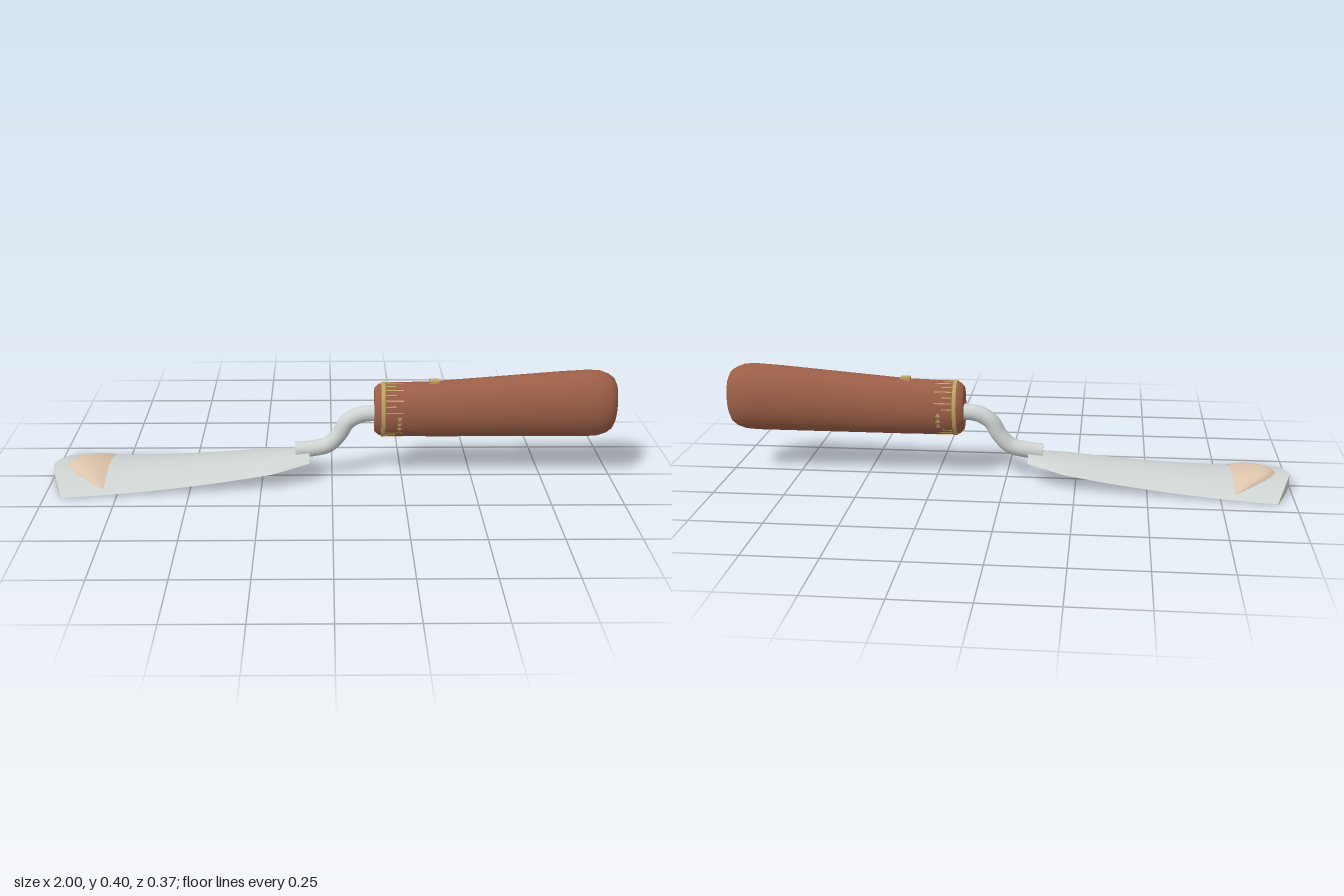
import * as THREE from 'three';
import { toCreasedNormals } from 'three/addons/utils/BufferGeometryUtils.js';

const mat = (name, color, side = THREE.FrontSide) => {
  const m = new THREE.MeshStandardMaterial({ color, side });
  m.name = name;
  return m;
};

// Piecewise linear lookup in rows of [x, a, b, ...]
function lookup(rows, x) {
  let i = 0;
  while (i < rows.length - 2 && x > rows[i + 1][0]) i++;
  const t = THREE.MathUtils.clamp((x - rows[i][0]) / (rows[i + 1][0] - rows[i][0]), 0, 1);
  return rows[i].map((a, k) => a + (rows[i + 1][k] - a) * t);
}

// Surface from a rule point(i, j) over a grid
function grid(nu, nv, point) {
  const pos = [], idx = [];
  for (let i = 0; i <= nu; i++) for (let j = 0; j <= nv; j++) pos.push(...point(i, j));
  for (let i = 0; i < nu; i++) for (let j = 0; j < nv; j++) {
    const a = i * (nv + 1) + j, b = a + nv + 1;
    idx.push(a, b, b + 1, a, b + 1, a + 1);
  }
  const g = new THREE.BufferGeometry();
  g.setAttribute('position', new THREE.Float32BufferAttribute(pos, 3));
  g.setIndex(idx);
  g.computeVertexNormals();
  return g;
}

// Oval body from sections [x, centre y, half height, half depth]
function oval(sections, n = 40) {
  const g = grid(sections.length - 1, n, (i, j) => {
    const [x, cy, ry, rz] = sections[i], a = (j / n) * Math.PI * 2;
    return [x, cy + ry * Math.cos(a), -rz * Math.sin(a)];
  });
  return toCreasedNormals(g, 0.75);
}

// Blade outline and arch
const WIDTH = [[-1, 0.187], [-0.94, 0.187], [-0.21, 0.12], [-0.08, 0.07]];
const halfWidth = (x) => lookup(WIDTH, x)[1];
function bladeY(x, z) {
  const t = (x + 1) / 0.92, s = z / halfWidth(x);
  const edge = 0.002 + 0.075 * t * t, crest = 0.046 + 0.056 * t * t;
  return edge + (crest - edge) * (1 - s * s);
}
const frontX = (s) => -1 + 0.06 * Math.abs(s) ** 1.2;

const HANDLE = [
  [0.15, 0.255, 0.001, 0.001], [0.15, 0.255, 0.08, 0.056], [0.165, 0.255, 0.094, 0.065],
  [0.19, 0.255, 0.098, 0.068], [0.35, 0.256, 0.101, 0.070], [0.6, 0.266, 0.111, 0.076],
  [0.8, 0.274, 0.119, 0.081], [0.9, 0.277, 0.122, 0.083], [0.94, 0.277, 0.119, 0.082],
  [0.97, 0.276, 0.108, 0.074], [0.988, 0.276, 0.095, 0.063], [0.998, 0.276, 0.075, 0.047],
  [1, 0.276, 0.04, 0.025], [1, 0.276, 0.001, 0.001],
];

export function createModel() {
  const steel = mat('steel', 0xced4d2, THREE.DoubleSide);
  const wood = mat('wood', 0x9c5f47);
  const brass = mat('brass', 0xbfa566);
  const peach = mat('peach', 0xdcc4ac, THREE.DoubleSide);
  const model = new THREE.Group();
  const add = (name, geometry, material, parent = model) => {
    const m = new THREE.Mesh(geometry, material);
    m.name = name;
    parent.add(m);
    return m;
  };

  // Arched blade with a pointed front
  const NU = 46, NV = 28;
  add('blade', grid(NU, NV, (i, j) => {
    const s = 1 - (2 * j) / NV, x0 = frontX(s);
    const x = x0 + (-0.08 - x0) * (i / NU), z = s * halfWidth(x);
    return [x, bladeY(x, z), z];
  }), steel);

  // Upright lip closing the front of the arch
  const lip = grid(1, NV, (i, j) => {
    const s = 1 - (2 * j) / NV, x = frontX(s), z = s * 0.187;
    return [x, i ? bladeY(x, z) : 0, z];
  });
  add('bladeLip', toCreasedNormals(lip, 0.4), steel);

  // Raised half-moon near the blade tip
  add('tipInlay', grid(12, 32, (i, j) => {
    const s = 1 - j / 16, u = i / 12, z = 0.152 * s;
    const x0 = -0.8 - 0.15 * (1 - Math.abs(s) ** 1.6);
    const x = x0 + (-0.797 - x0) * u;
    const rise = 2.4 * Math.sqrt(u) * (1 - u) * (1 - s * s);
    return [x, bladeY(x, z) + 0.002 + 0.018 * rise, z];
  }), peach);

  // Cranked neck
  const path = new THREE.CatmullRomCurve3([
    [-0.13, 0.1], [-0.07, 0.106], [-0.015, 0.12], [0.025, 0.16],
    [0.055, 0.208], [0.1, 0.235], [0.18, 0.243],
  ].map(([x, y]) => new THREE.Vector3(x, y, 0)));
  add('neck', new THREE.TubeGeometry(path, 48, 0.029, 20), steel);
  const cap = add('neckEnd', new THREE.CircleGeometry(0.029, 20), steel);
  cap.position.set(-0.13, 0.1, 0);
  cap.rotation.y = -Math.PI / 2;

  // Oval handle and its brass band
  add('handle', oval(HANDLE), wood);
  add('handleBand', oval([
    [0.172, 0.255, 0.094, 0.064], [0.173, 0.255, 0.1, 0.07],
    [0.186, 0.255, 0.101, 0.071], [0.187, 0.255, 0.094, 0.064],
  ]), brass);

  // Brass ticks and small triangles set around the handle
  const marks = new THREE.Group();
  marks.name = 'handleMarks';
  model.add(marks);
  const place = (mesh, x, a) => {
    const [, cy, ry, rz] = lookup(HANDLE, x);
    mesh.position.set(x, cy + ry * Math.cos(a), rz * Math.sin(a));
    mesh.rotation.x = Math.atan2(Math.sin(a) / rz, Math.cos(a) / ry);
  };
  const COUNT = 28;
  for (let k = 0; k < COUNT; k++) {
    const a = ((k + 0.5) / COUNT) * Math.PI * 2;
    const low = Math.cos(a) < -0.05 && Math.cos(a) > -0.65;
    const length = k % 2 ? 0.035 : 0.062;
    if (!low) {
      place(add('tick', new THREE.BoxGeometry(length, 0.003, 0.004), brass, marks), 0.188 + length / 2, a);
    } else {
      place(add('triangle', new THREE.CylinderGeometry(0.011, 0.011, 0.003, 3), brass, marks), 0.236, a);
    }
  }

  // Small stud on top of the handle
  const stud = add('stud', new THREE.BoxGeometry(0.034, 0.016, 0.028), brass);
  stud.position.set(0.358, 0.357, 0);

  return model;
}
